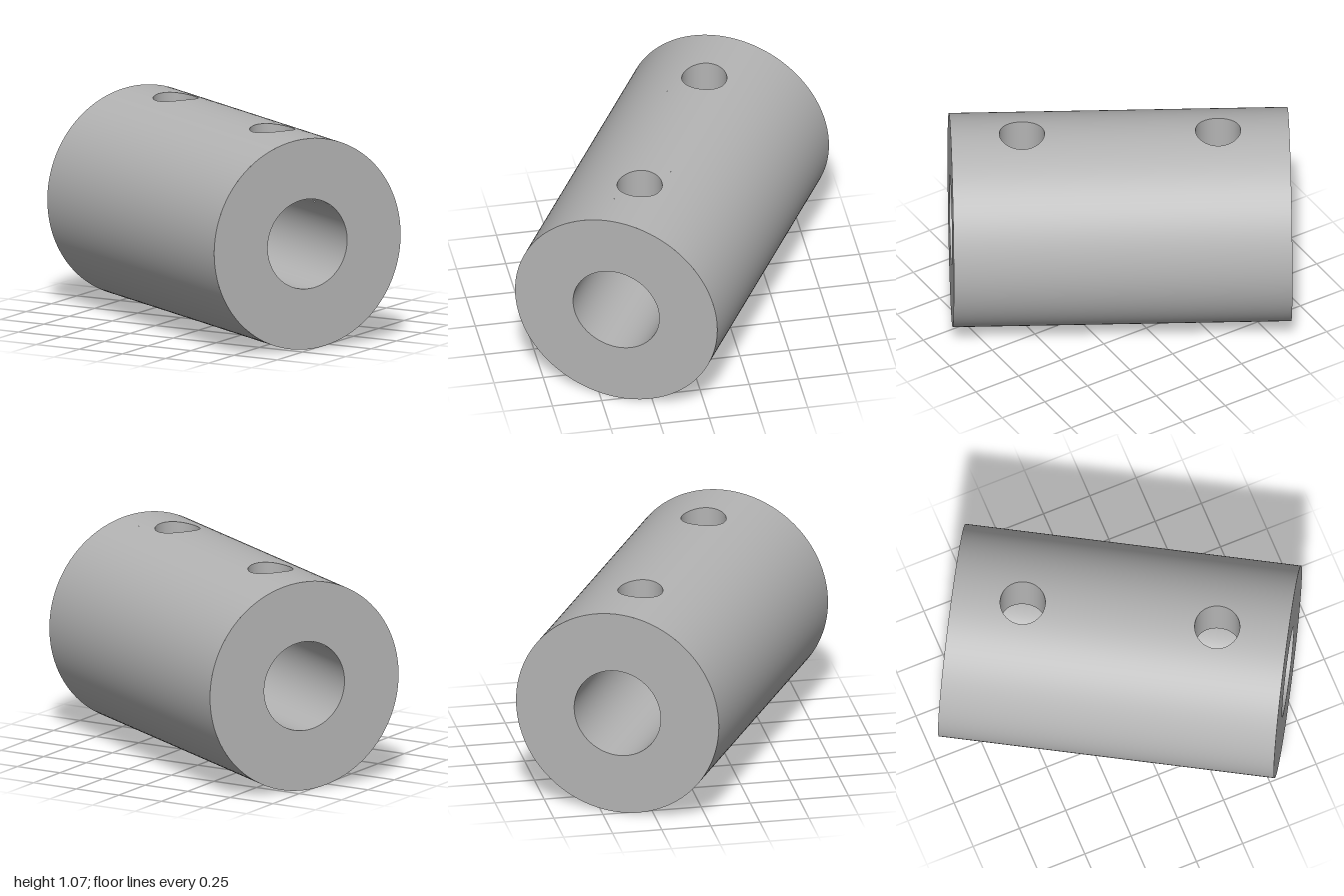
import * as THREE from 'three';
import { ParametricGeometry } from 'three/addons/geometries/ParametricGeometry.js';

const R = 0.535;        // outer radius
const BORE = 0.228;     // bore radius
const HALF = 0.846;     // half length
const HOLE = 0.113;     // screw hole radius
const HOLE_X = [-0.49, 0.49];
const PATCH = 0.16;     // half side of the square cut around each hole

export function createModel() {
  const steel = new THREE.MeshStandardMaterial({ color: 0xb4b4b4 });
  steel.name = 'steelGrey';
  const collar = new THREE.Group();
  collar.name = 'shaftCollar';

  const add = (name, geometry) => {
    const mesh = new THREE.Mesh(geometry, steel);
    mesh.name = name;
    collar.add(mesh);
    return mesh;
  };
  // Smooth sheet facing along du x dv, or the other way when flipped
  const sheet = (name, fn, nu, nv, flip = false) =>
    add(name, new ParametricGeometry((u, v, p) => fn(flip ? 1 - u : u, v, p), nu, nv));
  const heightAt = (r, z) => Math.sqrt(r * r - z * z);

  // Part of a cylinder around the x axis; angle 0 is the top
  const wall = (name, r, x0, x1, a0, a1, segments, outward) =>
    sheet(name, (u, v, p) => {
      const a = a0 + (a1 - a0) * v;
      p.set(x0 + (x1 - x0) * u, r * Math.cos(a), r * Math.sin(a));
    }, 1, segments, outward);

  for (const [name, r, outward] of [['outerWall', R, true], ['boreWall', BORE, false]]) {
    const edge = Math.asin(PATCH / r);
    wall(name, r, -HALF, HALF, edge, 2 * Math.PI - edge, 128, outward);

    // Top strips beside and between the screw holes
    const cuts = [-HALF, ...HOLE_X.flatMap(x => [x - PATCH, x + PATCH]), HALF];
    for (let i = 0; i < cuts.length; i += 2)
      wall(name + 'TopStrip', r, cuts[i], cuts[i + 1], -edge, edge, 24, outward);

    // Square patches blending out from each round hole
    for (const x of HOLE_X)
      sheet(name + 'HoleSurround', (u, v, p) => {
        const a = u * 2 * Math.PI, c = Math.cos(a), s = Math.sin(a);
        const d = THREE.MathUtils.lerp(HOLE, PATCH / Math.max(Math.abs(c), Math.abs(s)), v);
        p.set(x + d * c, heightAt(r, d * s), d * s);
      }, 96, 6, !outward);
  }

  // Screw hole sides, from the bore up to the outer wall
  for (const x of HOLE_X)
    sheet('screwHole', (u, v, p) => {
      const a = u * 2 * Math.PI, z = HOLE * Math.sin(a);
      p.set(x + HOLE * Math.cos(a), THREE.MathUtils.lerp(heightAt(BORE, z), heightAt(R, z), v), z);
    }, 96, 1);

  // Flat end faces
  for (const side of [-1, 1]) {
    const face = add('endFace', new THREE.RingGeometry(BORE, R, 128));
    face.rotation.y = side * Math.PI / 2;
    face.position.x = side * HALF;
  }

  collar.rotation.y = -Math.PI / 6;
  collar.position.y = R;
  const model = new THREE.Group();
  model.name = 'model';
  model.add(collar);
  return model;
}
